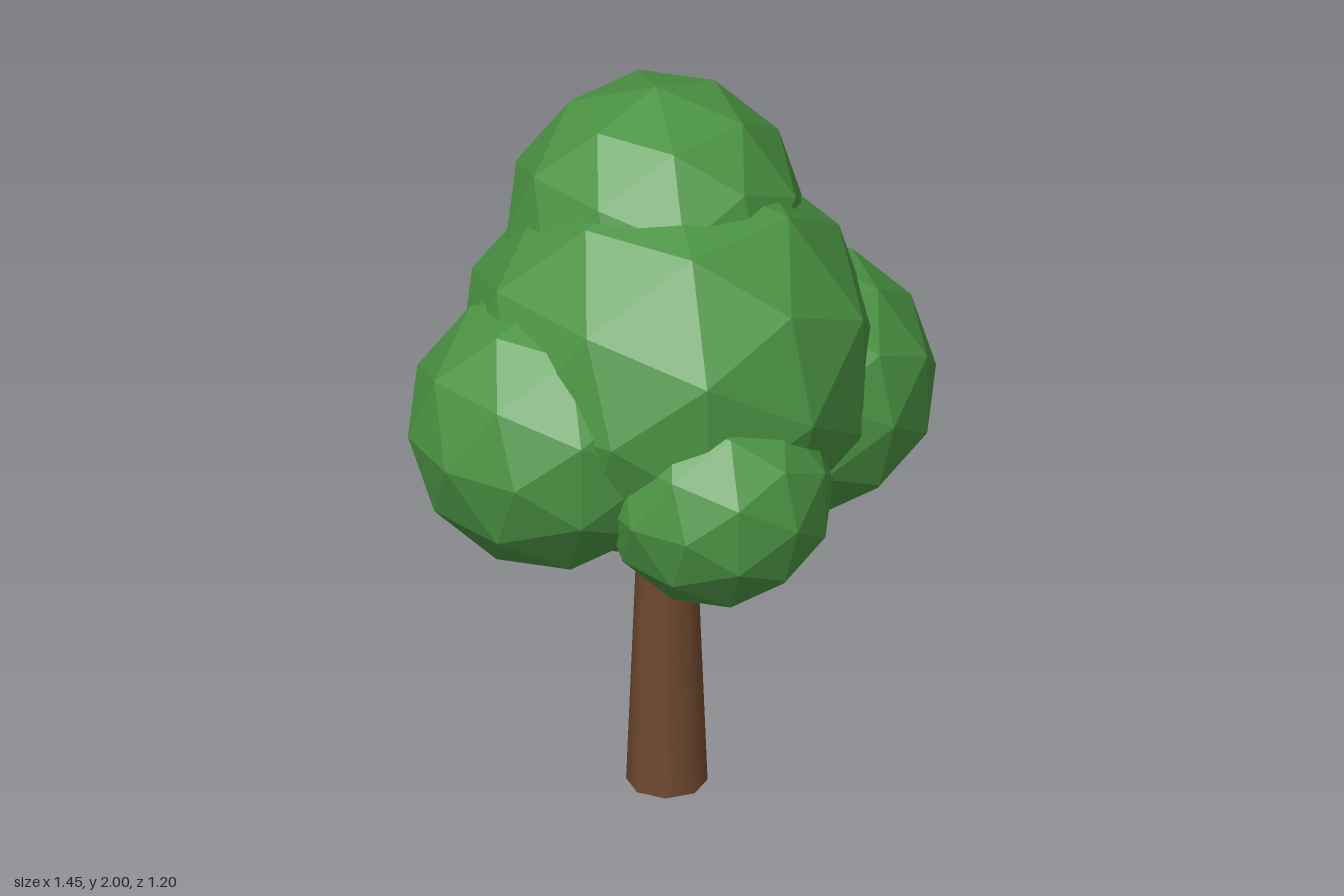
import * as THREE from 'three';

export function createModel() {
  const tree = new THREE.Group();
  tree.name = 'tree';

  const bark = new THREE.MeshStandardMaterial({ color: 0x70492f });
  bark.name = 'bark brown';
  const leaf = new THREE.MeshStandardMaterial({ color: 0x4c9444 });
  leaf.name = 'leaf green';
  leaf.flatShading = true;

  // Tapered eight-sided trunk, its top buried in the crown
  const trunkHeight = 1;
  const trunk = new THREE.Mesh(new THREE.CylinderGeometry(0.068, 0.107, trunkHeight, 8), bark);
  trunk.name = 'trunk';
  trunk.position.set(-0.008, trunkHeight / 2, -0.035);
  tree.add(trunk);

  // Crown of overlapping faceted leaf clumps: name, radius, centre
  const crown = new THREE.Group();
  crown.name = 'crown';
  const clumps = [
    ['mainClump', 0.56, 0, 1.28, -0.04],
    ['topClump', 0.4, 0.07, 1.6, -0.16],
    ['leftClump', 0.37, 0.355, 1.115, 0.08],
    ['rightClump', 0.39, -0.335, 1.16, -0.12],
    ['frontClump', 0.31, -0.13, 1.045, 0.29],
  ];
  for (const [name, radius, x, y, z] of clumps) {
    const clump = new THREE.Mesh(new THREE.IcosahedronGeometry(radius, 1), leaf);
    clump.name = name;
    clump.position.set(x, y, z);
    crown.add(clump);
  }
  tree.add(crown);

  return tree;
}
